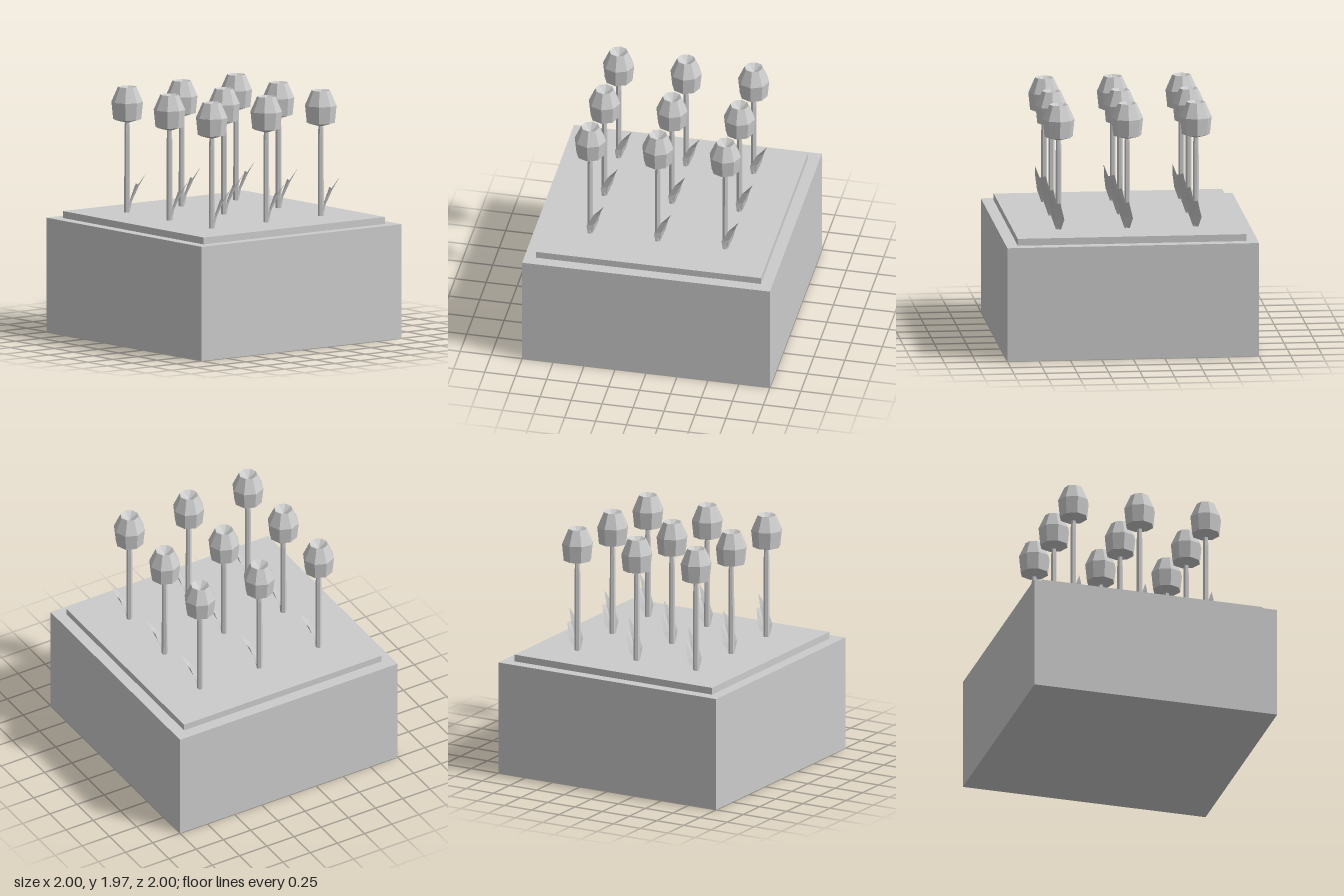
import * as THREE from 'three';

const mat = new THREE.MeshStandardMaterial({ color: 0xcccccc, flatShading: true });
const leafMat = new THREE.MeshStandardMaterial({ color: 0xcccccc, flatShading: true, side: THREE.DoubleSide });

function part(name, geometry, material = mat) {
  const mesh = new THREE.Mesh(geometry, material);
  mesh.name = name;
  return mesh;
}

function slab(name, width, bottom, top) {
  const mesh = part(name, new THREE.BoxGeometry(width, top - bottom, width));
  mesh.position.y = (bottom + top) / 2;
  return mesh;
}

function lathe(profile, sides) {
  return new THREE.LatheGeometry(profile.map(([r, y]) => new THREE.Vector2(r, y)), sides);
}

// Folded leaf: each section has one edge, the midrib and the other edge
function leafGeometry() {
  const sections = [
    [[-0.015, 0.96, 0.02], [0.014, 0.96, 0.014], [0.02, 0.96, -0.015]],
    [[-0.02, 1.06, 0.055], [0.035, 1.06, 0.02], [0.055, 1.05, -0.04]],
    [[0.04, 1.18, 0.075], [0.085, 1.18, 0.045], [0.09, 1.19, -0.005]],
    [[0.125, 1.28, 0.085], [0.125, 1.28, 0.085], [0.125, 1.28, 0.085]],
  ];
  const index = [];
  for (let i = 0; i < 3; i++) {
    for (let j = 0; j < 2; j++) {
      const a = i * 3 + j, b = a + 1, c = a + 3, d = a + 4;
      index.push(a, b, d);
      if (i < 2) index.push(a, d, c);
      else if (j === 0) index.push(a, d, c);
    }
  }
  const geometry = new THREE.BufferGeometry();
  geometry.setAttribute('position', new THREE.Float32BufferAttribute(sections.flat(2), 3));
  geometry.setIndex(index.slice(0, 30));
  geometry.computeVertexNormals();
  return geometry;
}

export function createModel() {
  const model = new THREE.Group();
  model.name = 'flowerPlanter';

  // Planter block with a raised bed of soil
  model.add(slab('planterBox', 2, 0, 0.912), slab('soil', 1.815, 0.912, 0.967));

  // Shared flower geometries
  const stem = lathe([[0.024, 0.96], [0.023, 1.6], [0.019, 1.69]], 6);
  const leaf = leafGeometry();
  const bloom = lathe([[0, 1.68], [0.112, 1.712], [0.126, 1.85], [0.073, 1.97], [0, 1.92]], 8);

  // Three by three flowers
  for (const x of [-0.545, 0, 0.545]) {
    for (const z of [-0.545, 0, 0.545]) {
      const flower = new THREE.Group();
      flower.name = 'flower';
      flower.add(part('stem', stem), part('leaf', leaf, leafMat), part('bloom', bloom));
      flower.position.set(x, 0, z);
      model.add(flower);
    }
  }
  return model;
}
